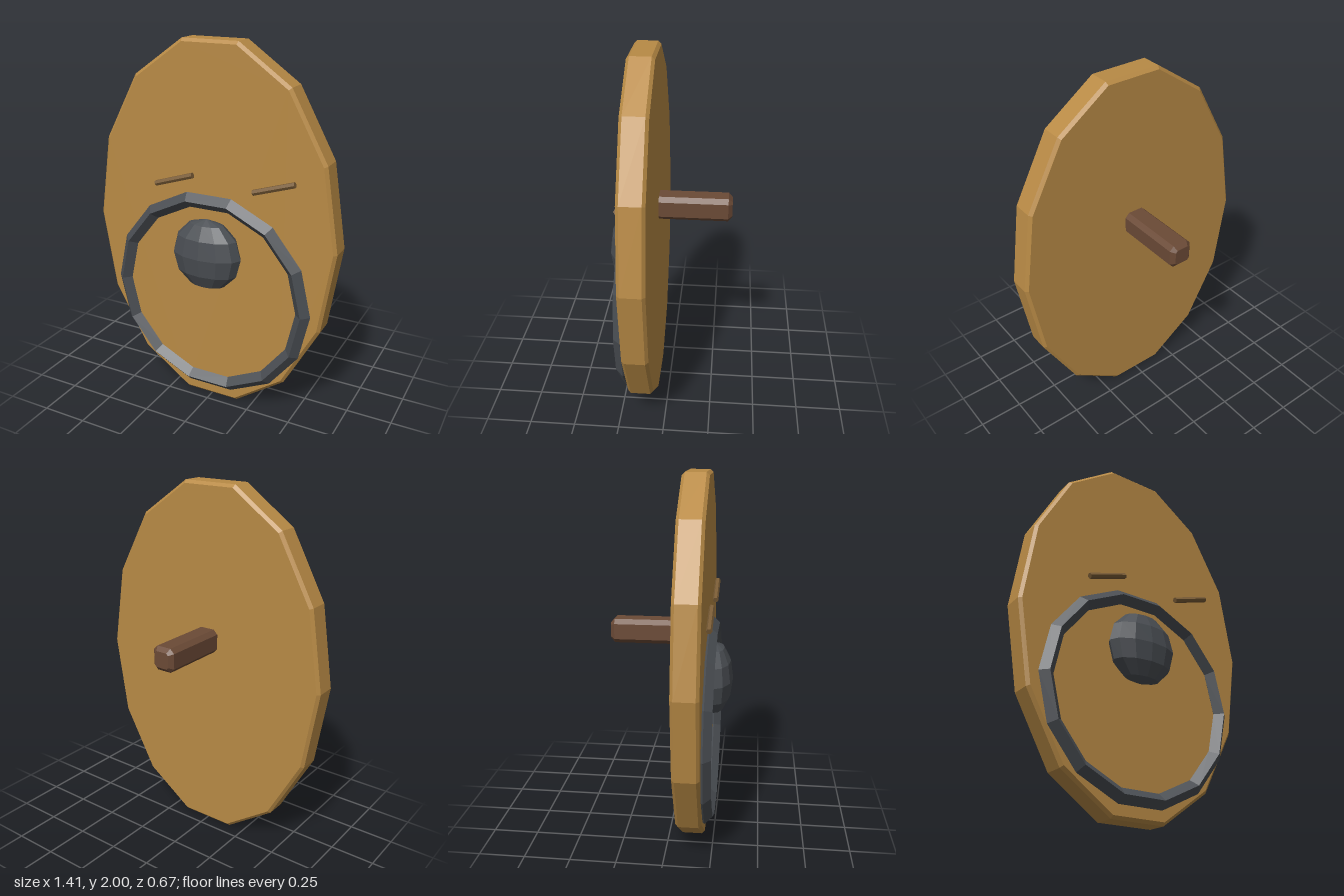
import * as THREE from 'three';

const mat = (color) => new THREE.MeshStandardMaterial({ color, flatShading: true });

// Prism along z between z0 and z1, with chamfered front and back rims
function chamferedPrism(points, z0, z1, chamfer) {
  const geo = new THREE.ExtrudeGeometry(new THREE.Shape(points), {
    depth: z1 - z0 - 2 * chamfer,
    bevelEnabled: true,
    bevelSegments: 1,
    bevelThickness: chamfer,
    bevelSize: chamfer,
    bevelOffset: -chamfer,
  });
  return geo.translate(0, 0, z0 + chamfer);
}

export function createModel() {
  const group = new THREE.Group();
  const wood = mat(0xb88a45);
  const iron = mat(0x4a4e53);
  const darkWood = mat(0x6b4a36);
  const scratchWood = mat(0x7a5c36);

  const add = (name, geo, material, x, y, z) => {
    const mesh = new THREE.Mesh(geo, material);
    mesh.name = name;
    mesh.position.set(x, y, z);
    group.add(mesh);
    return mesh;
  };

  // Oval board with fourteen sides
  const oval = [];
  for (let i = 0; i < 14; i++) {
    const a = (i / 14) * Math.PI * 2;
    oval.push(new THREE.Vector2(0.703 * Math.cos(a), 1.0257 * Math.sin(a)));
  }
  add('board', chamferedPrism(oval, 0.06, 0.2, 0.016), wood, 0, 1, 0);

  // Diamond-section metal ring
  add('ring', new THREE.TorusGeometry(0.545, 0.041, 4, 14), iron, 0, 0.64, 0.21);

  // Flattened dome
  const dome = new THREE.SphereGeometry(0.2, 12, 6).scale(1, 1, 0.5);
  add('boss', dome, iron, 0, 0.89, 0.235);

  // Two slanted grooved strips above the ring
  for (const [name, x, y] of [['rightStrip', -0.202, 1.272], ['leftStrip', 0.369, 1.304]]) {
    const geo = new THREE.CylinderGeometry(0.016, 0.016, 0.236, 6).rotateZ(Math.PI / 2);
    add(name, geo, scratchWood, x, y, 0.217).rotation.z = 0.315;
  }

  // Chamfered grip on the back
  const h = 0.066, c = 0.024;
  const grip = [[h, c - h], [h, h - c], [h - c, h], [c - h, h], [-h, h - c], [-h, c - h], [c - h, -h], [h - c, -h]]
    .map(([x, y]) => new THREE.Vector2(x, y));
  add('grip', chamferedPrism(grip, -0.335, 0.12, 0.022), darkWood, 0, 1.152, 0);

  return group;
}
